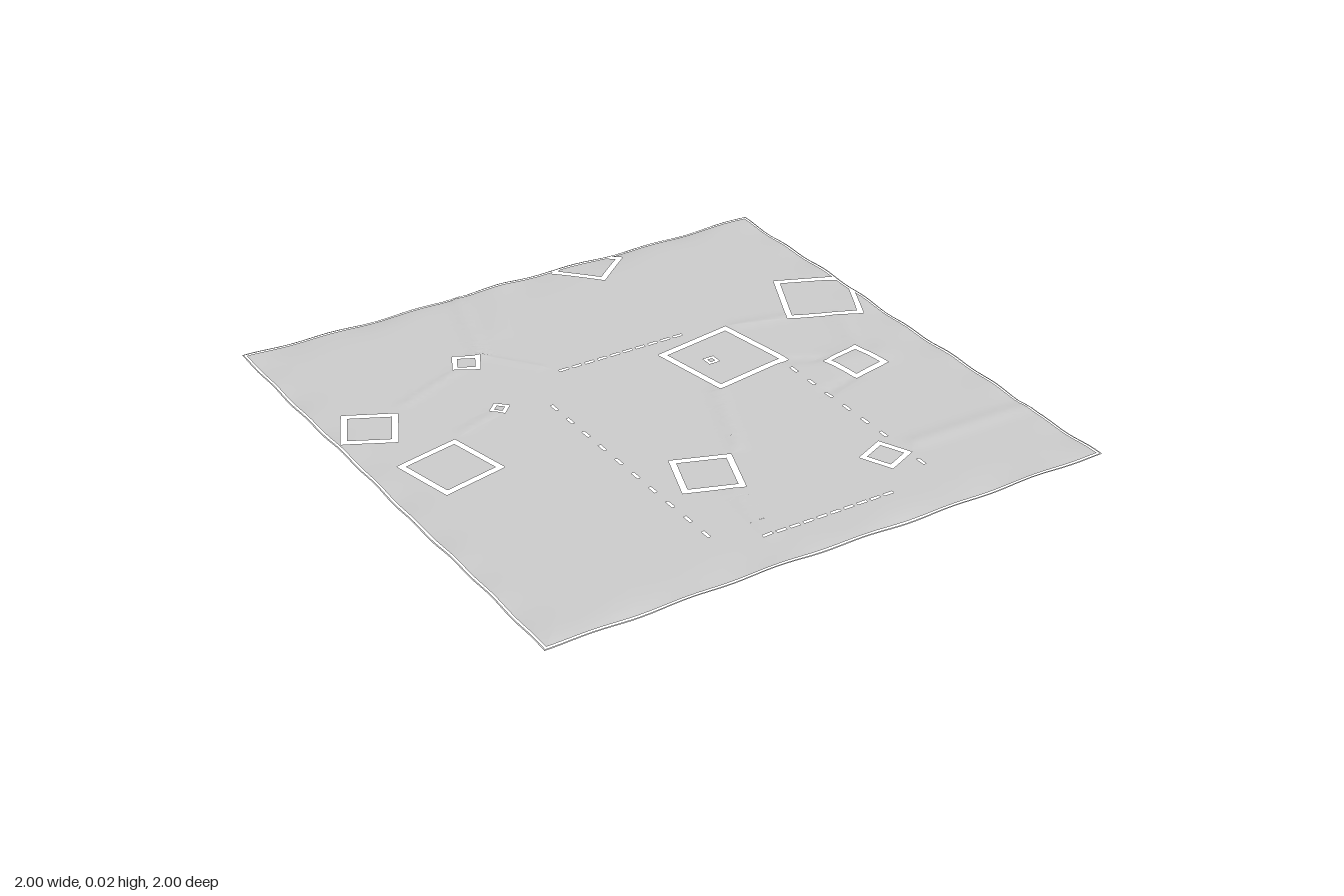
import * as THREE from 'three';
import { mergeVertices } from 'three/addons/utils/BufferGeometryUtils.js';

const EDGE = 0.988; // half size of the main cloth, inside the hem slit

// Creases: x1, z1, x2, z2, height, half width
const creases = [
  [-0.33, -0.58, -0.2, -1, 0.004, 0.02],
  [-0.33, -0.57, -0.2, -0.4, 0.003, 0.015],
  [-0.45, -0.53, -0.7, -0.42, 0.003, 0.015],
  [-0.48, -0.22, -0.62, -0.17, 0.003, 0.015],
  [0.2, 0.04, 0.06, 0.37, 0.004, 0.02],
  [-0.1, 0.58, -0.14, 0.84, 0.003, 0.02],
  [0.55, 0.64, 1, 0.64, 0.005, 0.03],
  [0.5, -0.02, 0.62, 0.04, -0.004, 0.02],
  [0.5, -0.31, 0.68, -0.27, 0.004, 0.02],
  [0.5, 0.23, 0.64, 0.19, -0.003, 0.02],
  [0.76, 0.02, 0.83, -0.17, 0.004, 0.03],
  [0.66, 0.08, 0.78, 0.1, 0.006, 0.06],
  [-0.02, -1, -0.2, -0.7, 0.002, 0.05],
];

function height(x, z) {
  let y = 0.0135;
  for (const [a, b, c, d, h, w] of creases) {
    const ux = c - a, uz = d - b;
    const t = THREE.MathUtils.clamp(((x - a) * ux + (z - b) * uz) / (ux * ux + uz * uz), 0, 1);
    const r = Math.hypot(x - a - ux * t, z - b - uz * t) / w;
    y += h * Math.exp(-r * r);
  }
  // the rim ripples up and down
  const rim = Math.exp(-(1 - Math.max(Math.abs(x), Math.abs(z))) / 0.05);
  return y - rim * 0.006 * (1 + Math.sin(x * 13 + z * 17) * Math.cos(x * 7 - z * 9 + 1));
}

// Flat outline with holes, split into small triangles and draped over the height field
function drape(outline, holes = []) {
  const toVec = ([x, z]) => new THREE.Vector2(x, -z);
  const shape = new THREE.Shape(outline.map(toVec));
  shape.holes = holes.map((h) => new THREE.Path(h.map(toVec)));
  const flat = new THREE.ShapeGeometry(shape).toNonIndexed().attributes.position;
  const pos = [];
  const split = (a, b, c) => {
    const len = (p, q) => Math.hypot(p[0] - q[0], p[1] - q[1]);
    const l = [len(a, b), len(b, c), len(c, a)];
    const m = Math.max(...l);
    if (m < 0.035) {
      for (const [x, z] of [a, b, c]) pos.push(x, height(x, z), z);
      return;
    }
    if (m === l[1]) [a, b, c] = [b, c, a];
    else if (m === l[2]) [a, b, c] = [c, a, b];
    const mid = [(a[0] + b[0]) / 2, (a[1] + b[1]) / 2];
    split(a, mid, c);
    split(mid, b, c);
  };
  const at = (i) => [flat.getX(i), -flat.getY(i)];
  for (let i = 0; i < flat.count; i += 3) split(at(i), at(i + 1), at(i + 2));
  const geo = new THREE.BufferGeometry();
  geo.setAttribute('position', new THREE.Float32BufferAttribute(pos, 3));
  const merged = mergeVertices(geo, 1e-5);
  merged.computeVertexNormals();
  return merged;
}

// Square from its centre and the offset to one corner
const square = (cx, cz, dx, dz, k = 1) =>
  [[dx, dz], [-dz, dx], [-dx, -dz], [dz, -dx]].map(([x, z]) => [cx + x * k, cz + z * k]);
const rect = (cx, cz, w, d) =>
  [[-1, -1], [1, -1], [1, 1], [-1, 1]].map(([x, z]) => [cx + (x * w) / 2, cz + (z * d) / 2]);

// Patches: centre, corner offset, width of the open seam around them
const patches = [
  [-0.862, -0.342, -0.04, -0.122, 0.02],
  [-0.755, 0, 0.09, -0.141, 0.02],
  [-0.396, -0.56, -0.02, -0.062, 0.016],
  [-0.45, -0.239, 0, -0.037, 0.012],
  [0.343, -0.146, 0.125, -0.176, 0.022],
  [0.695, 0.114, 0.06, -0.09, 0.02],
  [-0.108, 0.453, -0.06, -0.128, 0.02],
  [0.423, 0.652, 0.03, -0.08, 0.018],
];

export function createModel() {
  const group = new THREE.Group();
  const material = new THREE.MeshStandardMaterial({ color: 0xcccccc, side: THREE.DoubleSide });
  const add = (name, outline, holes) => {
    const mesh = new THREE.Mesh(drape(outline, holes), material);
    mesh.name = name;
    group.add(mesh);
  };
  const holes = [];

  // Square patches, each parted from the cloth by a seam
  patches.forEach(([cx, cz, dx, dz, seam], i) => {
    holes.push(square(cx, cz, dx, dz));
    const k = 1 - (seam * Math.SQRT2) / Math.hypot(dx, dz);
    add('patch', square(cx, cz, dx, dz, k), i === 4 ? [rect(0.298, -0.148, 0.04, 0.04)] : []);
  });
  add('buttonPatch', rect(0.298, -0.148, 0.02, 0.02));

  // Two patches cut off by the cloth's edge
  add('backEdgePatch', [[0.207, -EDGE], [0.198, -0.978], [0.302, -0.858], [0.422, -0.959], [0.397, -EDGE]]);
  add('leftEdgePatch', [[EDGE, -0.411], [0.802, -0.487], [0.701, -0.266], [0.912, -0.18], [EDGE, -0.335]]);

  // Dashed slits forming a large rectangle
  for (let i = 0; i < 10; i++) {
    const x = -0.147 + i * 0.049, z = -0.148 + i * 0.099;
    for (const rowZ of [-0.35, 0.842]) holes.push(rect(x, rowZ, 0.034, 0.01));
    holes.push(rect(-0.3, z, 0.01, 0.036));
    // the patches interrupt this row
    if (i > 1 && i !== 8) holes.push(rect(0.493, z, 0.01, 0.036));
  }

  // Main cloth, notched where patches meet the edge
  add('cloth', [
    [-EDGE, -EDGE], [0.18, -EDGE], [0.17, -0.98], [0.3, -0.83], [0.45, -0.957], [0.423, -EDGE],
    [EDGE, -EDGE], [EDGE, -0.433], [0.793, -0.513], [0.675, -0.255], [0.921, -0.154], [EDGE, -0.3],
    [EDGE, EDGE], [-EDGE, EDGE],
  ], holes);

  // Thin hem around the outside
  add('hem', rect(0, 0, 2, 2), [rect(0, 0, 1.99, 1.99)]);

  // Rest the lowest point on the ground
  const low = new THREE.Box3().setFromObject(group).min.y;
  group.children.forEach((m) => m.geometry.translate(0, -low, 0));
  return group;
}
